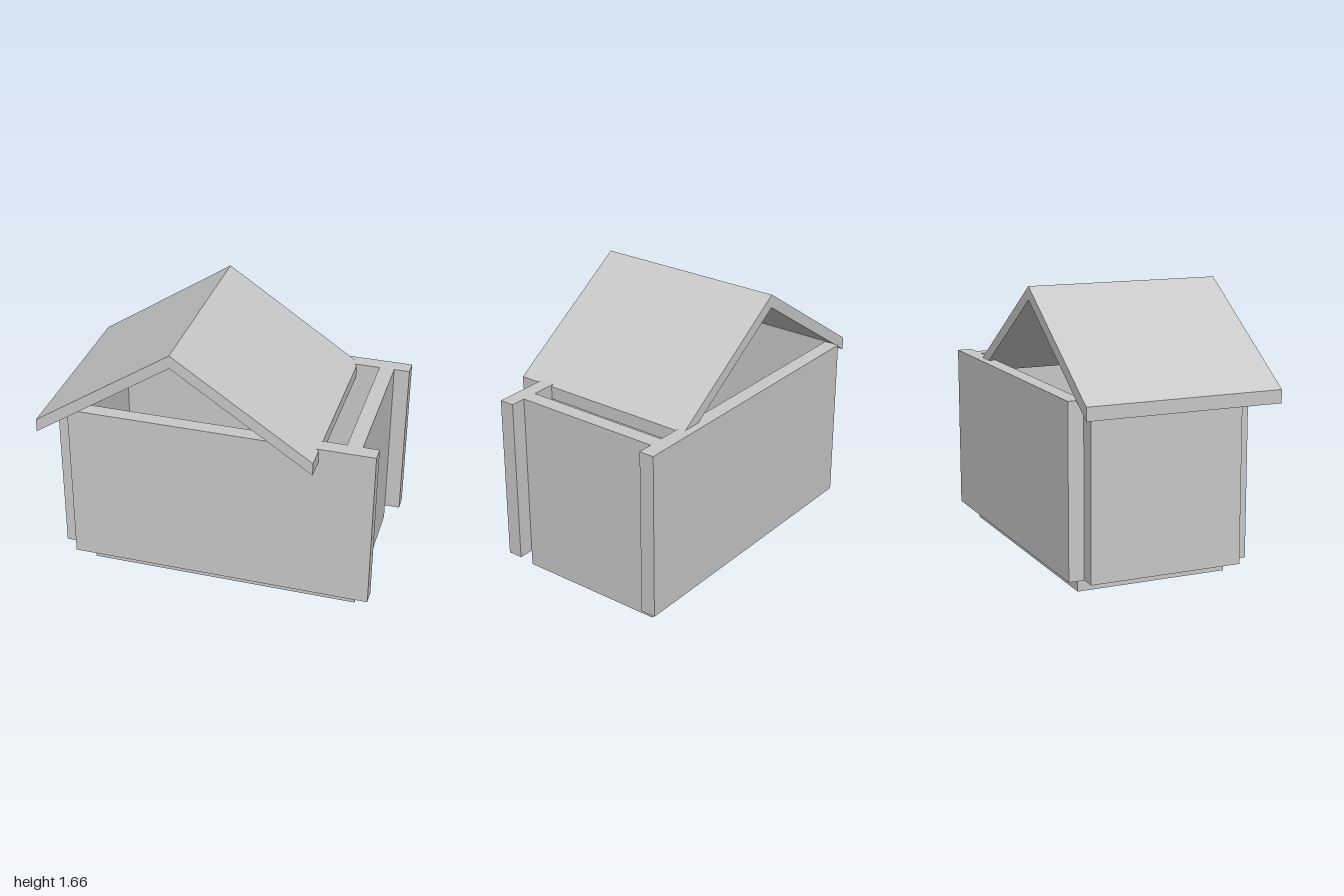
import * as THREE from 'three';

export function createModel() {
  const house = new THREE.Group();
  house.name = 'house';
  const grey = new THREE.MeshStandardMaterial({ color: 0xc8c8c8 });
  grey.name = 'plain grey';

  // Flat panel given by its extents on each axis
  function panel(name, [x0, x1], [y0, y1], [z0, z1]) {
    const mesh = new THREE.Mesh(new THREE.BoxGeometry(x1 - x0, y1 - y0, z1 - z0), grey);
    mesh.name = name;
    mesh.position.set((x0 + x1) / 2, (y0 + y1) / 2, (z0 + z1) / 2);
    house.add(mesh);
  }

  const wallY = [0.095, 1.12];
  const innerZ = [-0.535, 0.398];

  // Floor and the two end walls between the long walls
  panel('floor', [-0.767, 0.905], [0, 0.095], innerZ);
  panel('leftEndWall', [0.812, 0.905], wallY, innerZ);
  panel('rightEndWall', [-0.957, -0.86], wallY, innerZ);

  // Long walls
  panel('frontWall', [-0.86, 1], wallY, [0.398, 0.49]);
  panel('backWall', [-0.86, 1], wallY, [-0.628, -0.535]);

  // Open gable roof: chevron section extruded along z
  const section = new THREE.Shape([
    [-1, 1.03], [-0.166, 1.585], [0.668, 1.03],
    [0.668, 1.11], [-0.166, 1.665], [-1, 1.11],
  ].map(([x, y]) => new THREE.Vector2(x, y)));
  const roof = new THREE.Mesh(
    new THREE.ExtrudeGeometry(section, { depth: 1.208, bevelEnabled: false }), grey);
  roof.name = 'roof';
  roof.position.z = -0.58;
  house.add(roof);

  return house;
}
